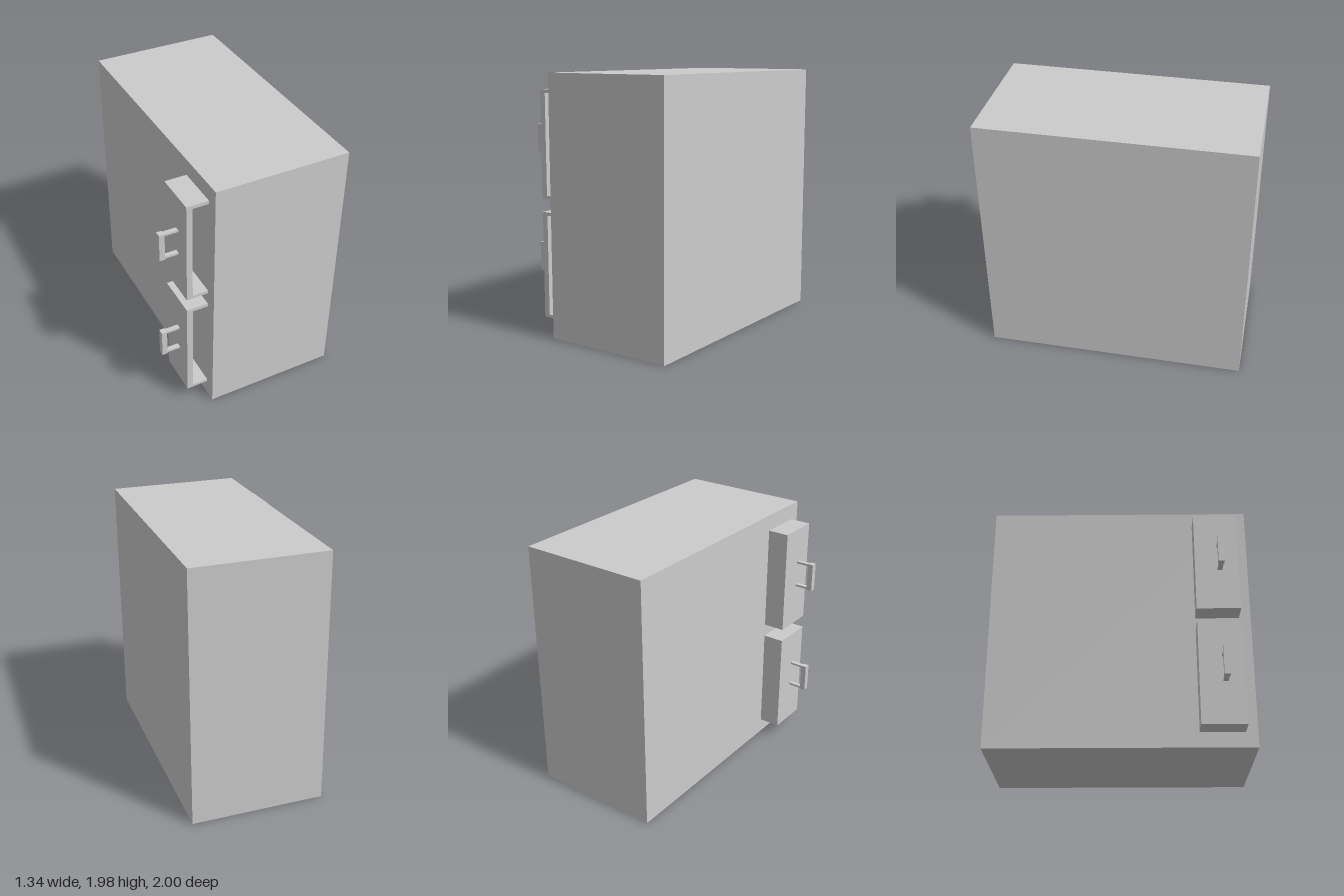
import * as THREE from 'three';

const material = new THREE.MeshStandardMaterial({ color: 0xcccccc, flatShading: true });

// Box given by its min and max corners
function box(name, [x0, y0, z0], [x1, y1, z1]) {
  const mesh = new THREE.Mesh(new THREE.BoxGeometry(x1 - x0, y1 - y0, z1 - z0), material);
  mesh.position.set((x0 + x1) / 2, (y0 + y1) / 2, (z0 + z1) / 2);
  mesh.name = name;
  return mesh;
}

const SIDE = -0.356; // cabinet side carrying the drawers

// Shallow tray, open at the front, with a bracket handle on its outer panel
function createDrawer(name) {
  const drawer = new THREE.Group();
  drawer.name = name;
  const outer = -0.523, inner = -0.477, height = 0.816, back = 0.577, front = 0.91;

  // C-shaped wall: outer panel with top and bottom
  const profile = new THREE.Shape([
    [SIDE, 0], [SIDE, 0.024], [inner, 0.024], [inner, height - 0.026],
    [SIDE, height - 0.026], [SIDE, height], [outer, height], [outer, 0],
  ].map(([x, y]) => new THREE.Vector2(x, y)));
  const walls = new THREE.Mesh(
    new THREE.ExtrudeGeometry(profile, { depth: front - back, bevelEnabled: false }), material);
  walls.position.z = back;
  walls.name = 'drawerWalls';
  drawer.add(walls);

  // Rear wall closing the tray
  drawer.add(box('drawerBack', [inner, 0.024, back], [SIDE, height - 0.026, back + 0.025]));

  // Handle: grip bar on two posts
  const handle = new THREE.Group();
  handle.name = 'handle';
  handle.add(box('grip', [-0.67, 0.325, 0.744], [-0.628, 0.546, 0.79]));
  for (const y of [0.328, 0.526]) {
    handle.add(box('handlePost', [-0.628, y, 0.749], [outer, y + 0.016, 0.785]));
  }
  drawer.add(handle);
  return drawer;
}

export function createModel() {
  const model = new THREE.Group();
  model.name = 'cabinet';
  model.add(box('cabinetBody', [SIDE, 0, -1], [0.67, 1.975, 1]));

  // Two identical drawers, one above the other
  [['lowerDrawer', 0.117], ['upperDrawer', 1.034]].forEach(([name, y]) => {
    const drawer = createDrawer(name);
    drawer.position.y = y;
    model.add(drawer);
  });
  return model;
}
